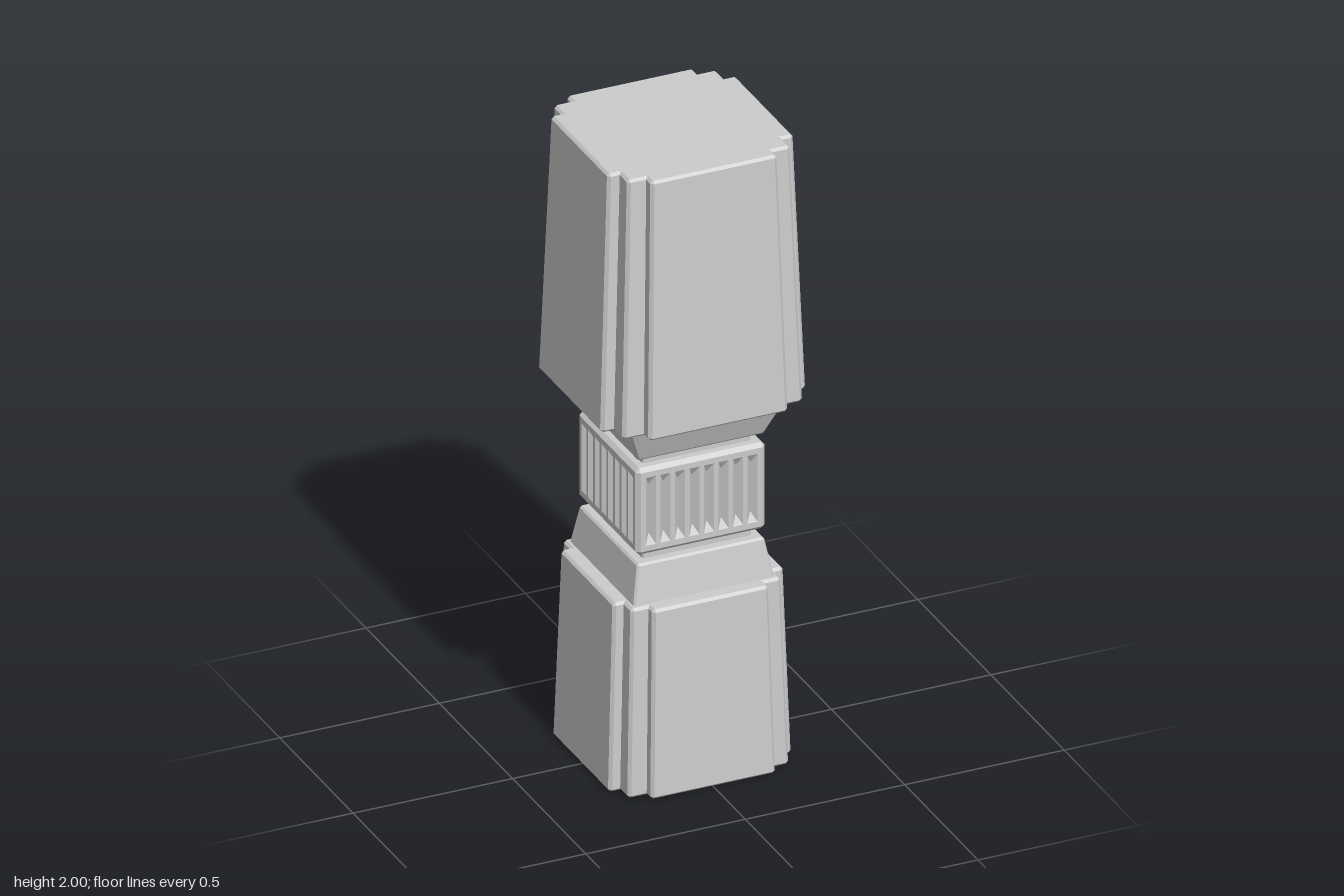
import * as THREE from 'three';
import { mergeGeometries } from 'three/addons/utils/BufferGeometryUtils.js';

const material = new THREE.MeshStandardMaterial({ color: 0xcccccc, flatShading: true });

// Repeat a quarter outline around the vertical axis
const fourfold = (quarter) => {
  const pts = [];
  for (let q = 0; q < 4; q++) {
    for (const [x, z] of quarter) {
      pts.push([[x, z], [-z, x], [-x, -z], [z, -x]][q]);
    }
  }
  return pts;
};

// Square with chamfered corners: half width a, chamfer e
const square = (a, e) => fourfold([[a, a - e], [a - e, a]]);

// Stepped-corner square: face a, corner step m, face half width c, chamfer e
const stepped = (a, m, c, e) => fourfold([
  [a, c - e], [a - e, c], [m, c], [m, m - e],
  [m - e, m], [c, m], [c, a - e], [c - e, a],
]);

function fromTriangles(tris) {
  const g = new THREE.BufferGeometry();
  g.setAttribute('position', new THREE.Float32BufferAttribute(tris.flat(2), 3));
  g.computeVertexNormals();
  return g;
}

// Closed solid through rings of [height, outline]
function loft(rings) {
  const tris = [];
  const at = (r, i) => {
    const [x, z] = r[1][i % r[1].length];
    return [x, r[0], z];
  };
  const n = rings[0][1].length;
  const first = rings[0], last = rings[rings.length - 1];
  for (let i = 0; i < n; i++) {
    for (let k = 0; k < rings.length - 1; k++) {
      const lo = rings[k], hi = rings[k + 1];
      tris.push([at(lo, i), at(hi, i), at(hi, i + 1)], [at(lo, i), at(hi, i + 1), at(lo, i + 1)]);
    }
    tris.push([[0, first[0], 0], at(first, i), at(first, i + 1)]);
    tris.push([[0, last[0], 0], at(last, i + 1), at(last, i)]);
  }
  return fromTriangles(tris);
}

// One fluted side with pointed-ended V grooves and its corner chamfer, facing +z
function flutedSide(half, chamfer, y0, y1) {
  const x = half - chamfer;
  const count = 8, pitch = 0.0455, w = 0.016, d = 0.018, taper = 0.03;
  const b = y0 + 0.018, t = y1 - 0.018;
  const rect = (l, bo, r, to) => [[l, bo], [r, bo], [r, to], [l, to]].map((p) => new THREE.Vector2(...p));
  const shape = new THREE.Shape(rect(-x, y0, x, y1));
  const tris = [];
  for (let i = 0; i < count; i++) {
    const cx = (i - (count - 1) / 2) * pitch;
    shape.holes.push(new THREE.Path(rect(cx - w, b, cx + w, t).reverse()));
    const A = [cx - w, b, half], B = [cx + w, b, half], C = [cx + w, t, half], D = [cx - w, t, half];
    const P = [cx, b + taper, half - d], Q = [cx, t - taper, half - d];
    tris.push([A, P, Q], [A, Q, D], [B, C, Q], [B, Q, P], [A, B, P], [C, D, Q]);
  }
  // corner chamfer strip
  const E = [x, y0, half], F = [half, y0, x], G = [half, y1, x], H = [x, y1, half];
  tris.push([E, F, G], [E, G, H]);
  const face = new THREE.ShapeGeometry(shape).toNonIndexed();
  face.deleteAttribute('uv');
  face.translate(0, 0, half);
  return mergeGeometries([face, fromTriangles(tris)]);
}

export function createModel() {
  const model = new THREE.Group();
  model.name = 'postSleeve';
  const add = (name, geometry, parent = model) => {
    const mesh = new THREE.Mesh(geometry, material);
    mesh.name = name;
    parent.add(mesh);
    return mesh;
  };

  // Lower block, narrowing upward
  add('lowerBlock', loft([
    [0, stepped(0.277, 0.244, 0.187, 0.001)],
    [0.008, stepped(0.286, 0.252, 0.195, 0.009)],
    [0.592, stepped(0.267, 0.235, 0.182, 0.009)],
    [0.6, stepped(0.259, 0.227, 0.174, 0.001)],
  ]));
  add('lowerCollar', loft([
    [0.59, square(0.222, 0.006)],
    [0.714, square(0.2, 0.006)],
    [0.72, square(0.194, 0.001)],
  ]));

  // Recessed necks either side of the band
  add('lowerNeck', loft([[0.71, square(0.17, 0.004)], [0.76, square(0.17, 0.004)]]));
  add('upperNeck', loft([[1.015, square(0.17, 0.004)], [1.065, square(0.17, 0.004)]]));

  // Fluted band with bevelled rims
  const band = new THREE.Group();
  band.name = 'flutedBand';
  model.add(band);
  const h = 0.203, e = 0.012;
  add('bandLowerRim', loft([[0.748, square(h - e, 0.001)], [0.76, square(h, e)]]), band);
  add('bandUpperRim', loft([[1.015, square(h, e)], [1.027, square(h - e, 0.001)]]), band);
  const side = flutedSide(h, e, 0.76, 1.015);
  for (let i = 0; i < 4; i++) {
    add('flutedSide', side, band).rotation.y = (i * Math.PI) / 2;
  }

  // Upper collar flaring out to the upper block
  add('upperCollar', loft([
    [1.055, square(0.194, 0.001)],
    [1.061, square(0.2, 0.006)],
    [1.19, square(0.252, 0.006)],
  ]));
  add('upperBlock', loft([
    [1.18, stepped(0.312, 0.274, 0.21, 0.001)],
    [1.188, stepped(0.321, 0.282, 0.218, 0.01)],
    [1.992, stepped(0.291, 0.255, 0.198, 0.009)],
    [2, stepped(0.283, 0.247, 0.19, 0.001)],
  ]));
  return model;
}
